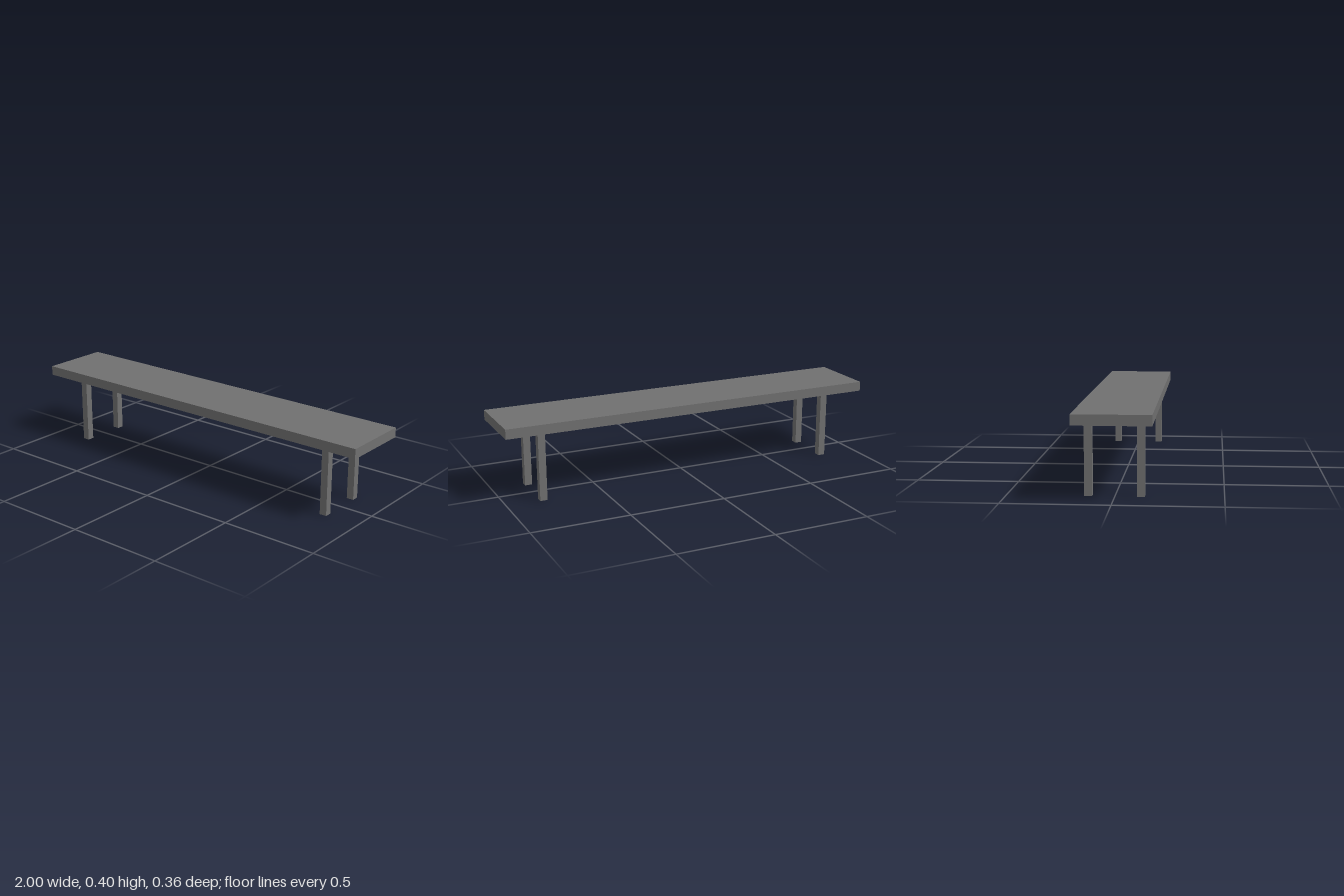
import * as THREE from 'three';

export function createModel() {
  const bench = new THREE.Group();
  bench.name = 'bench';
  const grey = new THREE.MeshStandardMaterial({ color: 0x707070, flatShading: true, side: THREE.DoubleSide });
  grey.name = 'grey';

  // Seat plank
  const top = 0.402, under = 0.352;
  const seat = new THREE.Mesh(new THREE.BoxGeometry(2, top - under, 0.362), grey);
  seat.name = 'seat';
  seat.position.y = (top + under) / 2;
  bench.add(seat);

  // Four square legs, hollow and open at the foot
  const legWidth = 0.037;
  const legShape = new THREE.CylinderGeometry(legWidth / Math.SQRT2, legWidth / Math.SQRT2, under, 4, 1, true);
  legShape.rotateY(Math.PI / 4);
  for (const [side, x] of [['left', 0.811], ['right', -0.794]]) {
    for (const [end, z] of [['Front', 0.119], ['Back', -0.123]]) {
      const leg = new THREE.Mesh(legShape, grey);
      leg.name = `${side}${end}Leg`;
      leg.position.set(x, under / 2, z);
      bench.add(leg);
    }
  }
  return bench;
}
